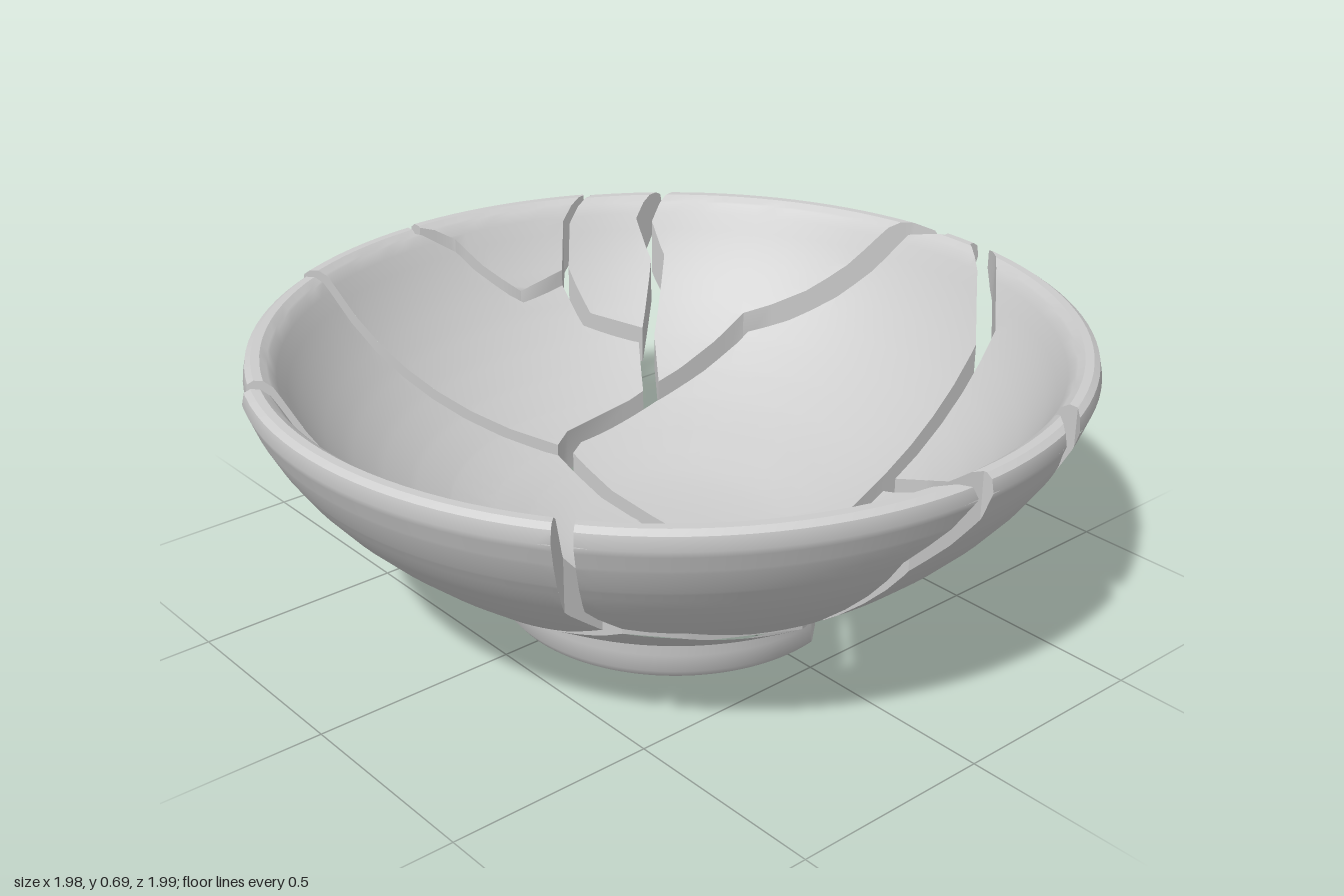
import * as THREE from 'three';
import { toCreasedNormals } from 'three/addons/utils/BufferGeometryUtils.js';

const SEGMENTS = 120;

// Bowl profile as [radius, height]: a curved wall plus lip or foot details
function wall(from, control, to) {
  const curve = new THREE.QuadraticBezierCurve(...[from, control, to].map(p => new THREE.Vector2(...p)));
  return curve.getPoints(9).map(p => [Math.round(p.x * 1000) / 1000, p.y]);
}
const INSIDE = [[0, 0.145], [0.018, 0.145], [0.1, 0.147], ...wall([0.25, 0.155], [0.73, 0.265], [0.915, 0.645]),
  [0.93, 0.67], [0.95, 0.685], [0.97, 0.685], [0.984, 0.675], [0.99, 0.645]];
const UNDERSIDE = [[0, 0.075], [0.3, 0.055], [0.36, 0.02], [0.385, 0], [0.42, 0.003], [0.437, 0.025], [0.442, 0.07],
  ...wall([0.445, 0.1], [0.91, 0.37], [0.99, 0.645])];
const RINGS = [...new Set([...INSIDE, ...UNDERSIDE].map(p => p[0]))].sort((a, b) => a - b);
const RIM = RINGS[RINGS.length - 1];

// Points where cracks meet, as [x, z]
const BACK = [0, -0.42], BACK_RIGHT = [0.32, -0.445], BACK_FORK = [0.41, -0.575], BACK_RIM = [0.3, -0.79];
const LEFT = [-0.58, 0.515], FRONT = [-0.145, 0.645], CENTRE = [0.235, 0.32], RIGHT = [0.43, 0.3];

// Crack centre lines seen from above; those reaching the rim start there
const CRACKS = {
  leftRim: [[-1.1, -0.55], [-0.885, -0.34], [-0.64, -0.1], [-0.645, 0.1], [-0.58, 0.16], LEFT],
  frontLeftRim: [[-1, 0.8], [-0.78, 0.6], [-0.69, 0.515], LEFT],
  frontRim: [[-0.015, 1.2], [-0.02, 0.975], [-0.148, 0.905], FRONT],
  frontRightRim: [[0.29, 1.2], [0.3, 0.95], [0.357, 0.885], [0.36, 0.7], [0.425, 0.43], RIGHT],
  rightRim: [[1.1, 0.11], [0.965, 0.1], [0.92, 0.165], [0.8, 0.28], RIGHT],
  backRightRim: [[1.1, -0.04], [0.97, -0.035], [0.94, -0.12], [0.62, -0.405], BACK_RIGHT],
  smallRim: [[0.8, -0.9], [0.64, -0.755], [0.53, -0.735], [0.525, -0.67], BACK_FORK],
  sliverRight: [[0.5, -1.1], [0.44, -0.865], [0.35, -0.845], BACK_RIM],
  sliverLeft: [[-0.055, -1.2], [-0.055, -0.95], [0.035, -0.915], [0.165, -0.805], BACK_RIM],
  backLeftRim: [[-0.61, -1], BACK],
  leftToFront: [LEFT, [-0.455, 0.59], FRONT],
  frontToCentre: [FRONT, CENTRE],
  centreToRight: [CENTRE, RIGHT],
  backToCentre: [BACK, [0, 0.045], CENTRE],
  backToRight: [BACK, [0.06, -0.45], BACK_RIGHT],
  backRightToFork: [BACK_RIGHT, BACK_FORK],
  forkToRim: [BACK_FORK, [0.3, -0.69], BACK_RIM],
};

// Each shard follows its cracks round from rim to rim, set back from them by inset
const SHARDS = [
  { name: 'largeLeftShard', shift: [0.01, 0.01],
    cracks: ['leftRim', 'leftToFront', 'frontToCentre', 'backToCentre', 'backLeftRim'] },
  { name: 'leftRimShard', cracks: ['leftRim', 'frontLeftRim'] },
  { name: 'frontLeftRimShard', cracks: ['frontLeftRim', 'leftToFront', 'frontRim'] },
  { name: 'frontShard', cracks: ['frontRim', 'frontToCentre', 'centreToRight', 'frontRightRim'] },
  { name: 'frontRightRimShard', cracks: ['frontRightRim', 'rightRim'] },
  { name: 'largeRightShard', cracks: ['rightRim', 'centreToRight', 'backToCentre', 'backToRight', 'backRightRim'] },
  { name: 'backRightRimShard', cracks: ['backRightRim', 'backRightToFork', 'smallRim'] },
  { name: 'smallBackShard', inset: 0.012, cracks: ['smallRim', 'forkToRim', 'sliverRight'] },
  { name: 'backShard', cracks: ['backLeftRim', 'backToRight', 'backRightToFork', 'forkToRim', 'sliverLeft'] },
  { name: 'backRimSliver', inset: 0.006, shift: [0, -0.01], cracks: ['sliverLeft', 'sliverRight'] },
];

// Join cracks end to end and close the outline outside the rim
function shardOutline(names, inset) {
  const path = [];
  for (const name of names) {
    const crack = [...CRACKS[name]];
    if (path.length && crack[0] !== path[path.length - 1]) crack.reverse();
    path.push(...(path.length ? crack.slice(1) : crack));
  }
  const points = path.map(p => new THREE.Vector2(...p));
  points.push(points[0].clone().add(points[points.length - 1]).setLength(1.5));
  if (THREE.ShapeUtils.isClockWise(points)) points.reverse();
  const normals = points.map((p, i) => {
    const d = points[(i + 1) % points.length].clone().sub(p).normalize();
    return new THREE.Vector2(-d.y, d.x);
  });
  return points.map((p, i) => {
    const n = normals[i], m = normals[(i + points.length - 1) % points.length];
    return n.clone().add(m).multiplyScalar(inset / Math.max(1 + n.dot(m), 0.4)).add(p);
  });
}

function heightAt(profile, r) {
  for (let i = 1; i < profile.length; i++) {
    const [r0, y0] = profile[i - 1], [r1, y1] = profile[i];
    if (r <= r1) return y0 + (y1 - y0) * (r - r0) / (r1 - r0);
  }
  return profile[profile.length - 1][1];
}

// Trim a polygon by one convex, counter-clockwise cell
function clip(polygon, cell) {
  let out = polygon;
  cell.forEach((a, i) => {
    const b = cell[(i + 1) % cell.length];
    if (a.distanceTo(b) < 1e-9) return;
    const side = p => (b.x - a.x) * (p.y - a.y) - (b.y - a.y) * (p.x - a.x);
    const next = [];
    out.forEach((p, j) => {
      const q = out[(j + 1) % out.length], sp = side(p), sq = side(q);
      if (sp >= 0) next.push(p);
      if (sp * sq < 0) next.push(p.clone().lerp(q, sp / (sp - sq)));
    });
    out = next;
  });
  return out.filter((p, i) => p.distanceTo(out[(i + 1) % out.length]) > 1e-7);
}

// Polar cells covering the whole bowl
function makeCells() {
  const cells = [];
  const at = (r, j) => {
    const angle = (j + 0.5) / SEGMENTS * Math.PI * 2;
    return new THREE.Vector2(r * Math.cos(angle), r * Math.sin(angle));
  };
  for (let i = 1; i < RINGS.length; i++) {
    for (let j = 0; j < SEGMENTS; j++) {
      cells.push([at(RINGS[i - 1], j), at(RINGS[i], j), at(RINGS[i], j + 1), at(RINGS[i - 1], j + 1)]);
    }
  }
  return cells;
}

// Places along an edge where it crosses the profile rings
function edgeSteps(a, b) {
  const d = b.clone().sub(a), A = d.lengthSq(), B = a.dot(d), steps = [0, 1];
  for (const r of RINGS) {
    const disc = B * B - A * (a.lengthSq() - r * r);
    if (disc <= 0) continue;
    for (const s of [-1, 1]) {
      const t = (-B + s * Math.sqrt(disc)) / A;
      if (t > 0 && t < 1) steps.push(t);
    }
  }
  return steps.sort((x, y) => x - y);
}

function shardGeometry(outline, cells) {
  const positions = [];
  const put = (profile, ...points) => points.forEach(p =>
    positions.push(p.x, heightAt(profile, p.length()), p.y));

  // Inside and underside
  for (const cell of cells) {
    const piece = clip(outline, cell);
    if (piece.length < 3) continue;
    for (const face of THREE.ShapeUtils.triangulateShape(piece, [])) {
      let [a, b, c] = face.map(i => piece[i]);
      const area = THREE.ShapeUtils.area([a, b, c]);
      if (Math.abs(area) < 1e-9) continue;
      if (area < 0) [b, c] = [c, b];
      put(UNDERSIDE, a, b, c);
      put(INSIDE, a, c, b);
    }
  }

  // Broken edges
  outline.forEach((a, i) => {
    const b = outline[(i + 1) % outline.length], steps = edgeSteps(a, b);
    for (let k = 1; k < steps.length; k++) {
      const p = a.clone().lerp(b, steps[k - 1]), q = a.clone().lerp(b, steps[k]);
      if (p.clone().add(q).length() / 2 > RIM || p.distanceTo(q) < 1e-6) continue;
      put(INSIDE, p, q); put(UNDERSIDE, q);
      put(INSIDE, p); put(UNDERSIDE, q, p);
    }
  });

  const geometry = new THREE.BufferGeometry();
  geometry.setAttribute('position', new THREE.Float32BufferAttribute(positions, 3));
  return toCreasedNormals(geometry, 0.6);
}

export function createModel() {
  const bowl = new THREE.Group();
  bowl.name = 'brokenBowl';
  const material = new THREE.MeshStandardMaterial({ color: 0xcccccc });
  const cells = makeCells();
  for (const { name, cracks, inset = 0.022, shift = [0, 0] } of SHARDS) {
    const offset = new THREE.Vector2(...shift);
    const outline = shardOutline(cracks, inset).map(p => p.sub(offset));
    const shard = new THREE.Mesh(shardGeometry(outline, cells), material);
    shard.name = name;
    shard.position.set(offset.x, 0, offset.y);
    bowl.add(shard);
  }
  return bowl;
}
